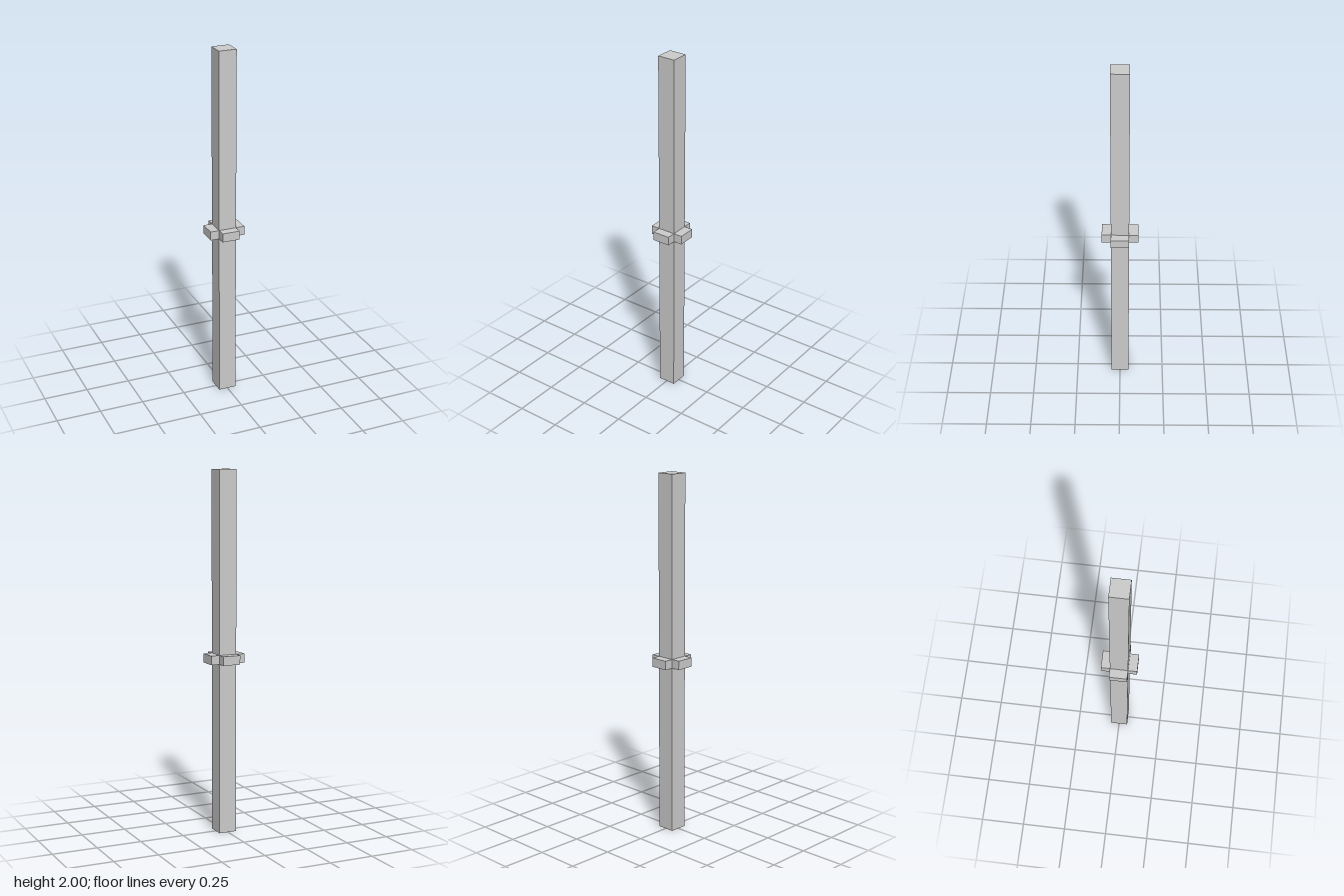
import * as THREE from 'three';

const WIDTH = 0.1;   // side of the square post
const HEIGHT = 2;
const PEG = { reach: 0.05, height: 0.05, y: 0.975 };

export function createModel() {
  const model = new THREE.Group();
  model.name = 'post';
  const material = new THREE.MeshStandardMaterial({ color: 0xcccccc, flatShading: true });

  // Square upright
  const shaft = new THREE.Mesh(new THREE.BoxGeometry(WIDTH, HEIGHT, WIDTH), material);
  shaft.name = 'shaft';
  shaft.position.y = HEIGHT / 2;
  model.add(shaft);

  // One short peg on each side, its top at mid-height
  const pegGeometry = new THREE.BoxGeometry(WIDTH, PEG.height, PEG.reach);
  pegGeometry.translate(0, PEG.y, (WIDTH + PEG.reach) / 2);
  ['frontPeg', 'leftPeg', 'backPeg', 'rightPeg'].forEach((name, i) => {
    const peg = new THREE.Mesh(pegGeometry, material);
    peg.name = name;
    peg.rotation.y = i * Math.PI / 2;
    model.add(peg);
  });

  return model;
}
